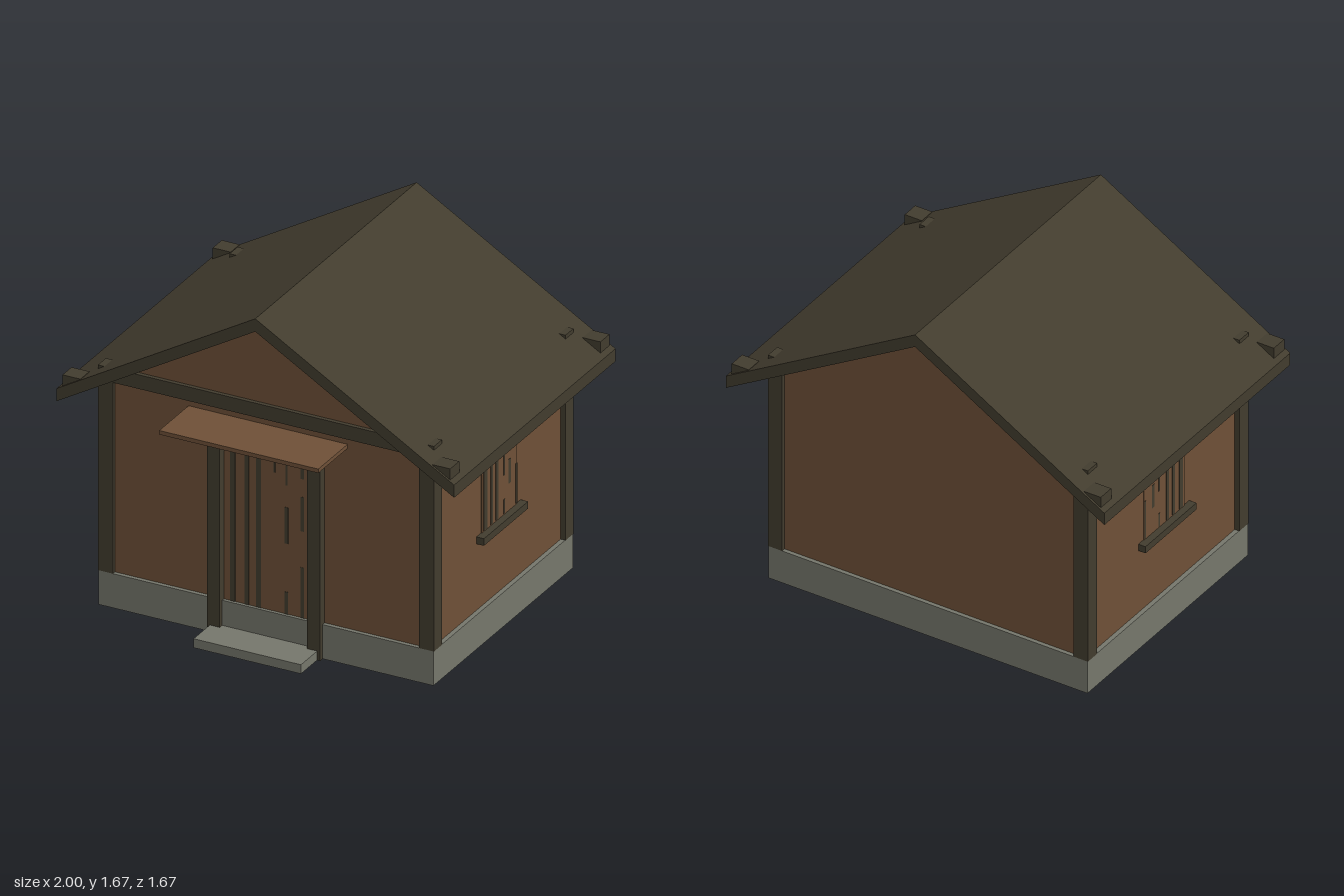
import * as THREE from 'three';

const wood = new THREE.MeshStandardMaterial({ color: 0x6e5037 });
wood.name = 'brown wood';
const timber = new THREE.MeshStandardMaterial({ color: 0x423c2e });
timber.name = 'dark timber';
const stone = new THREE.MeshStandardMaterial({ color: 0x75766b, side: THREE.DoubleSide });
stone.name = 'grey stone';

export function createModel() {
  const model = new THREE.Group();
  model.name = 'cabin';

  const add = (name, geometry, material, parent = model) => {
    const mesh = new THREE.Mesh(geometry, material);
    mesh.name = name;
    parent.add(mesh);
    return mesh;
  };
  // box given by its limits on each axis
  const box = (name, material, [x0, x1], [y0, y1], [z0, z1], parent = model) => {
    const mesh = add(name, new THREE.BoxGeometry(x1 - x0, y1 - y0, z1 - z0), material, parent);
    mesh.position.set((x0 + x1) / 2, (y0 + y1) / 2, (z0 + z1) / 2);
    return mesh;
  };
  // the same box on both sides of x = 0
  const pair = (name, material, [x0, x1], y, z) => {
    box(name + 'Left', material, [x0, x1], y, z);
    box(name + 'Right', material, [-x1, -x0], y, z);
  };
  // outline extruded from z0 to z1
  const prism = (name, material, points, z0, z1) => {
    const shape = new THREE.Shape(points.map(([x, y]) => new THREE.Vector2(x, y)));
    const geometry = new THREE.ExtrudeGeometry(shape, { depth: z1 - z0, bevelEnabled: false });
    return add(name, geometry.translate(0, 0, z0), material);
  };

  // foundation shell, open underneath
  const shell = new THREE.BoxGeometry(1.685, 0.17, 1.31);
  shell.setIndex([...shell.index.array].filter((_, i) => i < 18 || i >= 24));
  shell.clearGroups();
  add('foundation', shell, stone).position.set(0, 0.085, -0.075);
  box('doorStep', stone, [-0.27, 0.27], [0, 0.045], [0.57, 0.755]);

  // walls with gables, and the roof
  prism('walls', wood, [[-0.82, 0.165], [0.82, 0.165], [0.82, 1.14], [0, 1.62], [-0.82, 1.14]], -0.71, 0.56);
  prism('roof', timber, [[-1, 1.017], [0, 1.603], [1, 1.017], [1, 1.08], [0, 1.667], [-1, 1.08]], -0.835, 0.68);

  // corner posts, tie beam and roof blocks
  for (const [end, z] of [['front', [0.505, 0.58]], ['back', [-0.73, -0.655]]])
    pair(end + 'CornerPost', timber, [0.77, 0.845], [0.17, 1.19], z);
  box('tieBeam', timber, [-0.78, 0.78], [1.12, 1.19], [0.505, 0.58]);
  for (const [end, z] of [['front', [0.585, 0.67]], ['back', [-0.825, -0.74]]])
    pair(end + 'RoofBlock', timber, [0.885, 0.975], [1.09, 1.15], z);

  // door: frame, canopy, panel and dark streaks
  pair('doorPost', timber, [0.22, 0.285], [0, 0.99], [0.55, 0.603]);
  box('doorLintel', timber, [-0.307, 0.307], [0.99, 1.065], [0.55, 0.61]);
  box('doorCanopy', wood, [-0.4, 0.4], [1.065, 1.085], [0.55, 0.835]);
  box('doorPanel', wood, [-0.22, 0.22], [0.17, 0.985], [0.557, 0.564]);
  const doorStreaks = [
    [-0.175, 0.026, 0.17, 0.98], [-0.105, 0.022, 0.17, 0.98], [-0.045, 0.024, 0.17, 0.98],
    [0.035, 0.008, 0.86, 0.94], [0.095, 0.016, 0.17, 0.28], [0.095, 0.018, 0.52, 0.7],
    [0.095, 0.01, 0.81, 0.91], [0.175, 0.018, 0.17, 0.42], [0.175, 0.018, 0.6, 0.77], [0.175, 0.016, 0.86, 0.98],
  ];
  for (const [x, w, y0, y1] of doorStreaks)
    box('doorStreak', timber, [x - w / 2, x + w / 2], [y0, y1], [0.563, 0.566]);

  // shuttered window on each side wall
  const windowStreaks = [
    [0.06, 0.032, 0.54, 0.94], [0, 0.022, 0.54, 0.94], [-0.05, 0.022, 0.54, 0.94],
    [-0.118, 0.012, 0.54, 0.61], [-0.118, 0.01, 0.73, 0.87], [-0.167, 0.02, 0.67, 0.79],
    [-0.167, 0.012, 0.86, 0.93], [-0.232, 0.012, 0.54, 0.74], [-0.232, 0.012, 0.85, 0.92],
  ];
  for (const s of [1, -1]) {
    const win = new THREE.Group();
    win.name = s > 0 ? 'windowLeft' : 'windowRight';
    model.add(win);
    const part = (name, mat, a, b, y, z) => box(name, mat, s > 0 ? [a, b] : [-b, -a], y, z, win);
    part('windowHeader', timber, 0.81, 0.858, [0.948, 0.995], [-0.285, 0.14]);
    part('windowSill', timber, 0.81, 0.858, [0.5, 0.535], [-0.28, 0.135]);
    part('windowShutter', wood, 0.817, 0.824, [0.535, 0.948], [-0.24, 0.09]);
    for (const [z, w, y0, y1] of windowStreaks)
      part('windowStreak', timber, 0.823, 0.826, [y0, y1], [z - w / 2, z + w / 2]);
  }
  return model;
}
